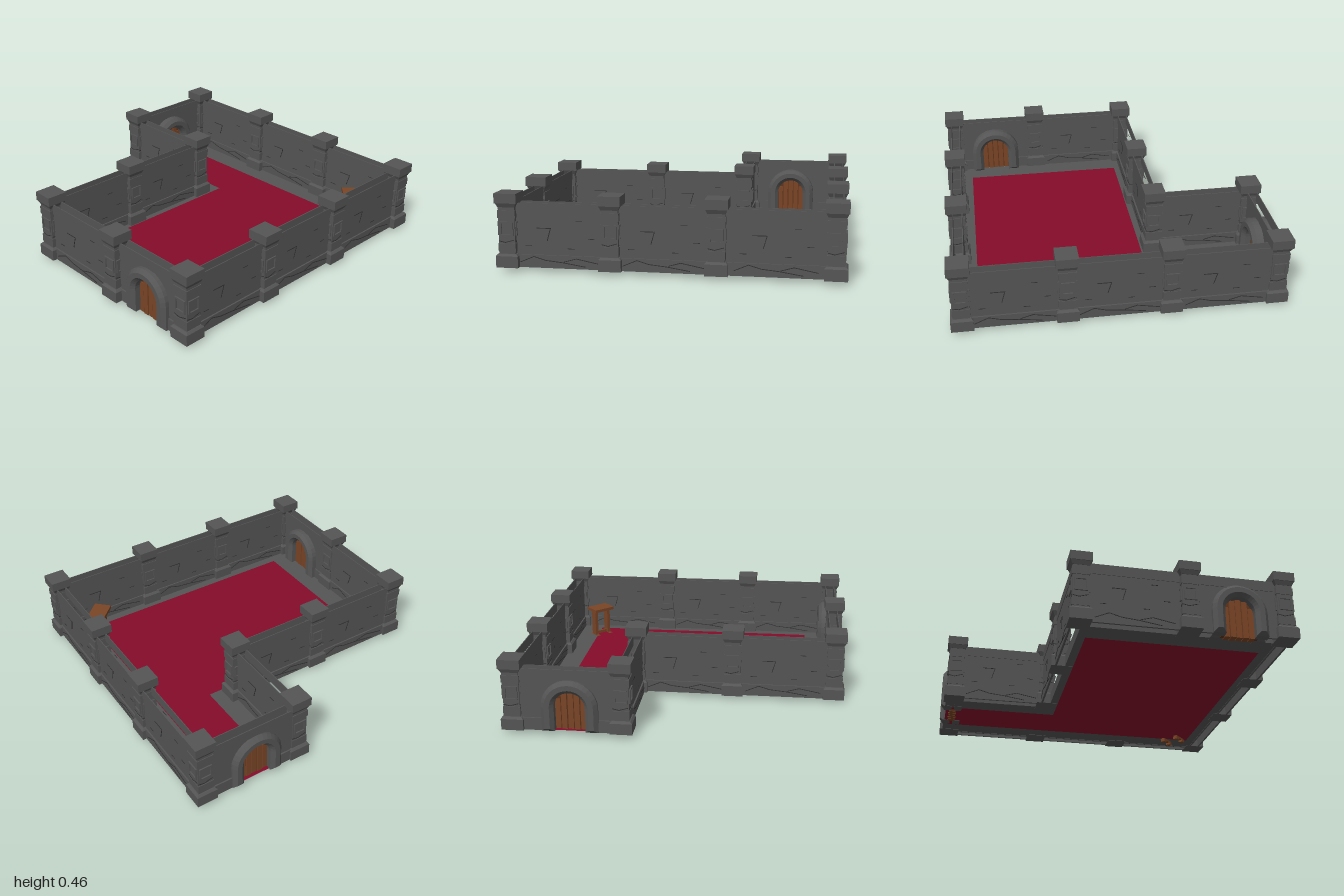
import * as THREE from 'three';

const mat = (color) => new THREE.MeshStandardMaterial({ color, flatShading: true, side: THREE.DoubleSide });
const STONE = mat(0x555555), DARK = mat(0x303030), CARPET = mat(0x850c2a);
const WOOD = mat(0x7a4526), WOOD_DARK = mat(0x5f341c);
// wall sheets are seen from their outer face only
const SHEET = new THREE.MeshStandardMaterial({ color: 0x555555, flatShading: true });

const BASE = 0.025, TOP = 0.4;
const DOOR_R = 0.09, SPRING = 0.175, ARCH_R = 0.165;

function add(parent, name, geometry, material, x = 0, y = 0, z = 0) {
  const mesh = new THREE.Mesh(geometry, material);
  mesh.name = name;
  mesh.position.set(x, y, z);
  parent.add(mesh);
  return mesh;
}
const box = (parent, name, m, w, h, d, x, y, z) => add(parent, name, new THREE.BoxGeometry(w, h, d), m, x, y, z);

// thin groove drawn along a few points, lying on a wall face
function crack(parent, points, z, width = 0.004) {
  for (let i = 1; i < points.length; i++) {
    const [x1, y1] = points[i - 1], [x2, y2] = points[i];
    const s = box(parent, 'crack', DARK, Math.hypot(x2 - x1, y2 - y1) + width, width, 0.003, (x1 + x2) / 2, (y1 + y2) / 2, z);
    s.rotation.z = Math.atan2(y2 - y1, x2 - x1);
  }
}

// one face of a wall: sheet, plinth, upper band and cracks
function wallFace(length, hasDoor) {
  const g = new THREE.Group();
  g.name = 'wallFace';
  const h = length / 2, s = new THREE.Shape();
  s.moveTo(-h, BASE);
  if (hasDoor) {
    s.lineTo(-DOOR_R, BASE);
    s.lineTo(-DOOR_R, SPRING);
    s.absarc(0, SPRING, DOOR_R, Math.PI, 0, true);
    s.lineTo(DOOR_R, BASE);
  }
  s.lineTo(h, BASE);
  s.lineTo(h, TOP);
  s.lineTo(-h, TOP);
  add(g, 'wallSheet', new THREE.ShapeGeometry(s, 8), SHEET, 0, 0, 0.028);
  box(g, 'upperBand', STONE, length, 0.065, 0.005, 0, 0.3675, 0.029);
  if (hasDoor) {
    const w = h - 0.13;
    for (const side of [-1, 1]) box(g, 'plinth', STONE, w, 0.075, 0.012, side * (0.13 + w / 2), 0.0625, 0.031);
    return g;
  }
  box(g, 'plinth', STONE, length, 0.075, 0.012, 0, 0.0625, 0.031);
  crack(g, [[-0.13, 0.255], [-0.05, 0.255], [-0.07, 0.185]], 0.029);
  crack(g, [[-0.23, 0.055], [-0.15, 0.09], [-0.08, 0.07], [0.02, 0.06], [0.15, 0.04]], 0.038);
  crack(g, [[0.03, 0.065], [0.1, 0.085], [0.23, 0.06]], 0.038);
  for (const [x, y] of [[-0.2, 0.15], [0.1, 0.3], [0.17, 0.2], [0.05, 0.14]]) crack(g, [[x, y], [x + 0.035, y]], 0.029, 0.003);
  return g;
}

// arch outline, closed around a doorway when inner radius is given
function archShape(outer, inner) {
  const s = new THREE.Shape();
  s.moveTo(outer, BASE);
  s.lineTo(outer, SPRING);
  s.absarc(0, SPRING, outer, 0, Math.PI, false);
  s.lineTo(-outer, BASE);
  if (inner) {
    s.lineTo(-inner, BASE);
    s.lineTo(-inner, SPRING);
    s.absarc(0, SPRING, inner, Math.PI, 0, true);
    s.lineTo(inner, BASE);
  }
  return s;
}

function doorway() {
  const g = new THREE.Group();
  g.name = 'doorway';
  const ring = new THREE.ExtrudeGeometry(archShape(ARCH_R, DOOR_R), {
    depth: 0.045, curveSegments: 8, bevelThickness: 0.022, bevelSize: 0.022, bevelOffset: -0.022, bevelSegments: 1,
  });
  // stone surround on both faces, chamfer outward
  for (const side of [0, 1]) {
    const arch = add(g, 'doorArch', ring, STONE, 0, 0, side ? -0.011 : 0.011);
    arch.rotation.y = side * Math.PI;
  }
  // arched leaf with raised planks
  add(g, 'doorLeaf', new THREE.ExtrudeGeometry(archShape(DOOR_R + 0.02), { depth: 0.03, bevelEnabled: false, curveSegments: 8 }), WOOD_DARK, 0, 0, -0.015);
  for (let i = -2; i <= 2; i++) {
    const x = i * 0.037, edge = Math.min(Math.abs(x) + 0.008, DOOR_R);
    const top = SPRING + Math.sqrt(DOOR_R ** 2 - edge ** 2);
    box(g, 'doorPlank', WOOD, 0.031, top - 0.02, 0.044 + 0.008 * (Math.abs(i) % 2), x, (top + 0.02) / 2, 0);
  }
  return g;
}

function wall([x1, z1, x2, z2, doorOffset]) {
  const g = new THREE.Group();
  g.name = 'wall';
  const length = Math.hypot(x2 - x1, z2 - z1), hasDoor = doorOffset !== undefined;
  for (const side of [0, 1]) {
    const face = wallFace(length, hasDoor);
    face.rotation.y = side * Math.PI;
    g.add(face);
  }
  if (hasDoor) {
    const d = doorway();
    d.position.z = doorOffset;
    g.add(d);
  }
  g.position.set((x1 + x2) / 2, 0, (z1 + z2) / 2);
  g.rotation.y = -Math.atan2(z2 - z1, x2 - x1);
  return g;
}

// four-sided tapered block
function taper(w1, w2, h) {
  const geo = new THREE.CylinderGeometry(w2 / Math.SQRT2, w1 / Math.SQRT2, h, 4);
  return geo.rotateY(Math.PI / 4);
}

function pillar(x, z) {
  const g = new THREE.Group();
  g.name = 'pillar';
  g.position.set(x, 0, z);
  box(g, 'pillarBase', STONE, 0.13, 0.067, 0.13, 0, 0.0585, 0);
  add(g, 'pillarBaseSlope', taper(0.13, 0.108, 0.012), STONE, 0, 0.098, 0);
  box(g, 'pillarShaft', STONE, 0.096, 0.29, 0.096, 0, 0.245, 0);
  box(g, 'lowerBlock', STONE, 0.105, 0.05, 0.102, 0, 0.14, 0);
  box(g, 'upperBlock', STONE, 0.104, 0.045, 0.105, 0, 0.335, 0);
  add(g, 'pillarNeck', taper(0.1, 0.122, 0.025), STONE, 0, 0.387, 0);
  box(g, 'pillarCap', STONE, 0.13, 0.056, 0.13, 0, 0.427, 0);
  // square framed stone and a slanted crack on each side
  for (let i = 0; i < 4; i++) {
    const side = new THREE.Group();
    side.name = 'pillarSide';
    side.rotation.y = i * Math.PI / 2;
    for (const s of [-1, 1]) {
      box(side, 'frameBar', STONE, 0.076, 0.01, 0.012, 0, 0.25 + s * 0.036, 0.05);
      box(side, 'framePost', STONE, 0.01, 0.08, 0.012, s * 0.034, 0.25, 0.05);
    }
    crack(side, [[-0.046, 0.178], [-0.01, 0.17], [0.04, 0.185]], 0.0485);
    g.add(side);
  }
  return g;
}

function flat(parent, name, points, material, y) {
  const s = new THREE.Shape(points.map(([x, z]) => new THREE.Vector2(x, -z)));
  add(parent, name, new THREE.ShapeGeometry(s).rotateX(-Math.PI / 2), material, 0, y, 0);
}

function table() {
  const g = new THREE.Group();
  g.name = 'table';
  box(g, 'tableTop', WOOD, 0.155, 0.02, 0.113, 0, 0.22, 0);
  for (const s of [-1, 1]) {
    box(g, 'trestlePost', WOOD, 0.022, 0.19, 0.045, s * 0.052, 0.115, 0);
    box(g, 'trestleBar', WOOD, 0.024, 0.015, 0.1, s * 0.052, 0.022, 0);
    for (const t of [-1, 1]) box(g, 'foot', WOOD, 0.03, 0.02, 0.03, s * 0.052, 0.01, t * 0.04);
  }
  box(g, 'stretcher', WOOD, 0.1, 0.02, 0.015, 0, 0.04, 0);
  g.position.set(0.712, 0, -0.755);
  g.rotation.y = -Math.PI / 4;
  return g;
}

export function createModel() {
  const model = new THREE.Group();
  model.name = 'stoneRoom';

  // carpet and the stone border around it
  const carpet = [[-0.95, -0.77], [0.82, -0.77], [0.82, 0.75], [-0.22, 0.75], [-0.22, -0.46], [-0.95, -0.46]];
  const outline = [[-0.95, -0.33], [-0.265, -0.33], [-0.265, 0.89], [0.885, 0.89], [0.885, -0.91], [-0.95, -0.91]];
  flat(model, 'carpet', carpet, CARPET, 0.028);
  flat(model, 'floorBorder', [...carpet, ...outline], STONE, 0.028);

  // walls, the last value marks a doorway and its shift
  const walls = [
    [-0.28, -0.94, -0.91, -0.94], [0.32, -0.94, -0.28, -0.94], [0.92, -0.94, 0.32, -0.94],
    [0.915, -0.28, 0.915, -0.935], [0.915, 0.32, 0.915, -0.28], [0.915, 0.92, 0.915, 0.32],
    [0.36, 0.918, 0.92, 0.918, -0.005], [-0.285, 0.918, 0.34, 0.918],
    [-0.295, 0.29, -0.295, 0.92], [-0.295, -0.31, -0.295, 0.29],
    [-0.9, -0.3, -0.295, -0.3], [-0.92, -0.9, -0.92, -0.29, -0.015],
  ];
  walls.forEach((w) => model.add(wall(w)));

  const pillars = [
    [-0.91, -0.93], [-0.28, -0.935], [0.32, -0.935], [0.92, -0.935], [0.92, -0.28], [0.92, 0.32],
    [0.92, 0.92], [0.345, 0.932], [-0.285, 0.918], [-0.29, 0.29], [-0.295, -0.31], [-0.905, -0.3],
  ];
  pillars.forEach(([x, z]) => model.add(pillar(x, z)));

  model.add(table());
  return model;
}
